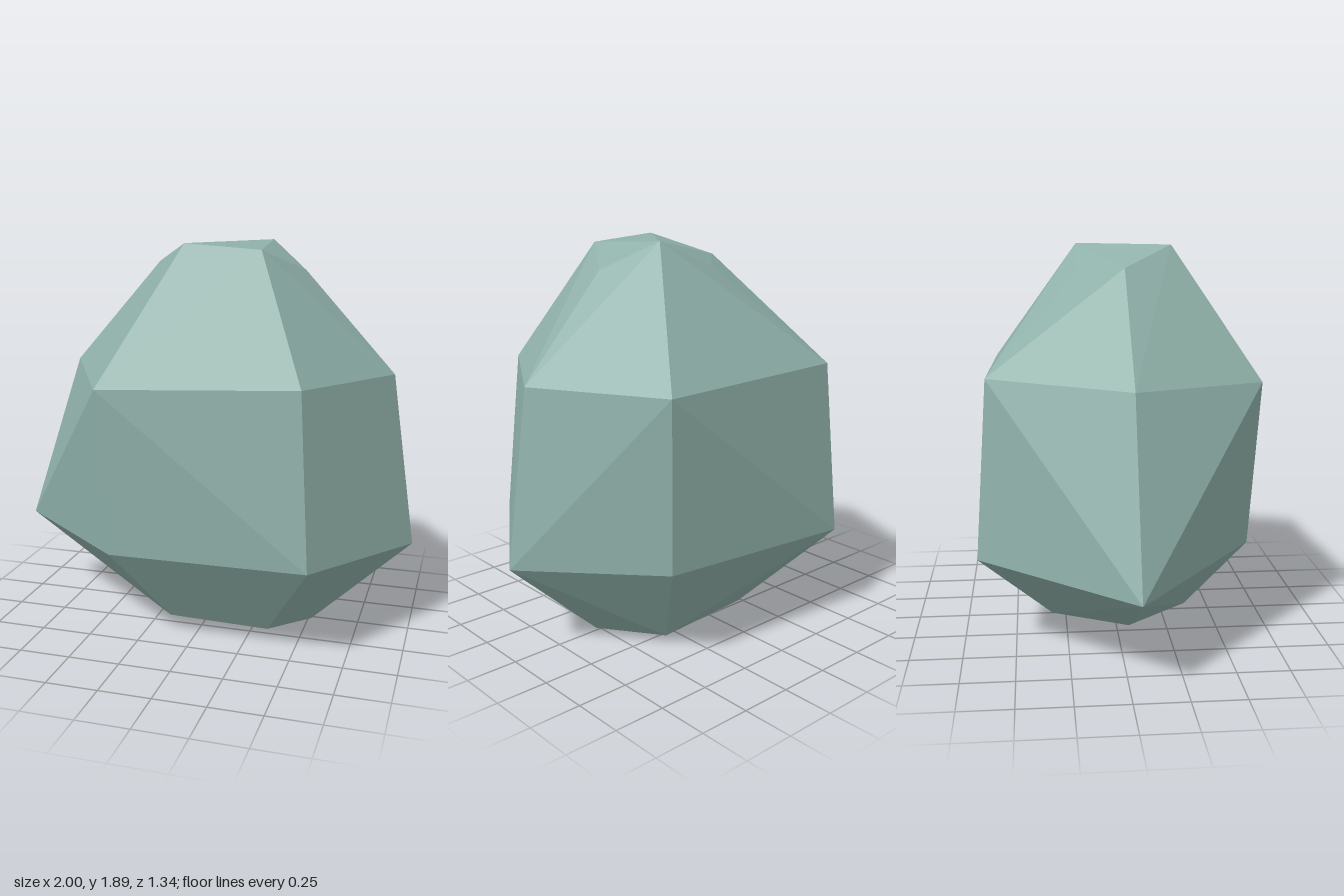
import * as THREE from 'three';
import { ConvexGeometry } from 'three/addons/geometries/ConvexGeometry.js';

// Rings of six corners, starting at +x and turning towards +z
const rings = [
  // top
  [[0.45, 1.76, 0.02], [0.29, 1.865, 0.26], [-0.07, 1.89, 0.27], [-0.27, 1.79, 0.03], [-0.06, 1.76, -0.18], [0.25, 1.89, -0.17]],
  // shoulder
  [[0.88, 1.285, 0.01], [0.545, 1.3, 0.575], [-0.37, 1.27, 0.665], [-0.71, 1.29, 0.035], [-0.415, 1.31, -0.615], [0.55, 1.285, -0.59]],
  // widest part
  [[1, 0.455, 0.01], [0.6, 0.495, 0.64], [-0.34, 0.48, 0.62], [-1, 0.44, 0.04], [-0.46, 0.47, -0.67], [0.54, 0.485, -0.58]],
  // base
  [[0.515, 0, 0.02], [0.36, 0.073, 0.35], [-0.13, 0.085, 0.352], [-0.365, 0.078, 0.045], [-0.14, 0.06, -0.32], [0.36, 0.04, -0.33]],
];

export function createModel() {
  const group = new THREE.Group();
  group.name = 'rock';

  const stone = new THREE.MeshStandardMaterial({ color: 0x8fb0a9 });
  stone.name = 'grey green stone';
  stone.flatShading = true;

  // Faceted boulder: the convex skin around the rings
  const points = rings.flat().map((p) => new THREE.Vector3(...p));
  const boulder = new THREE.Mesh(new ConvexGeometry(points), stone);
  boulder.name = 'boulder';
  group.add(boulder);

  return group;
}
